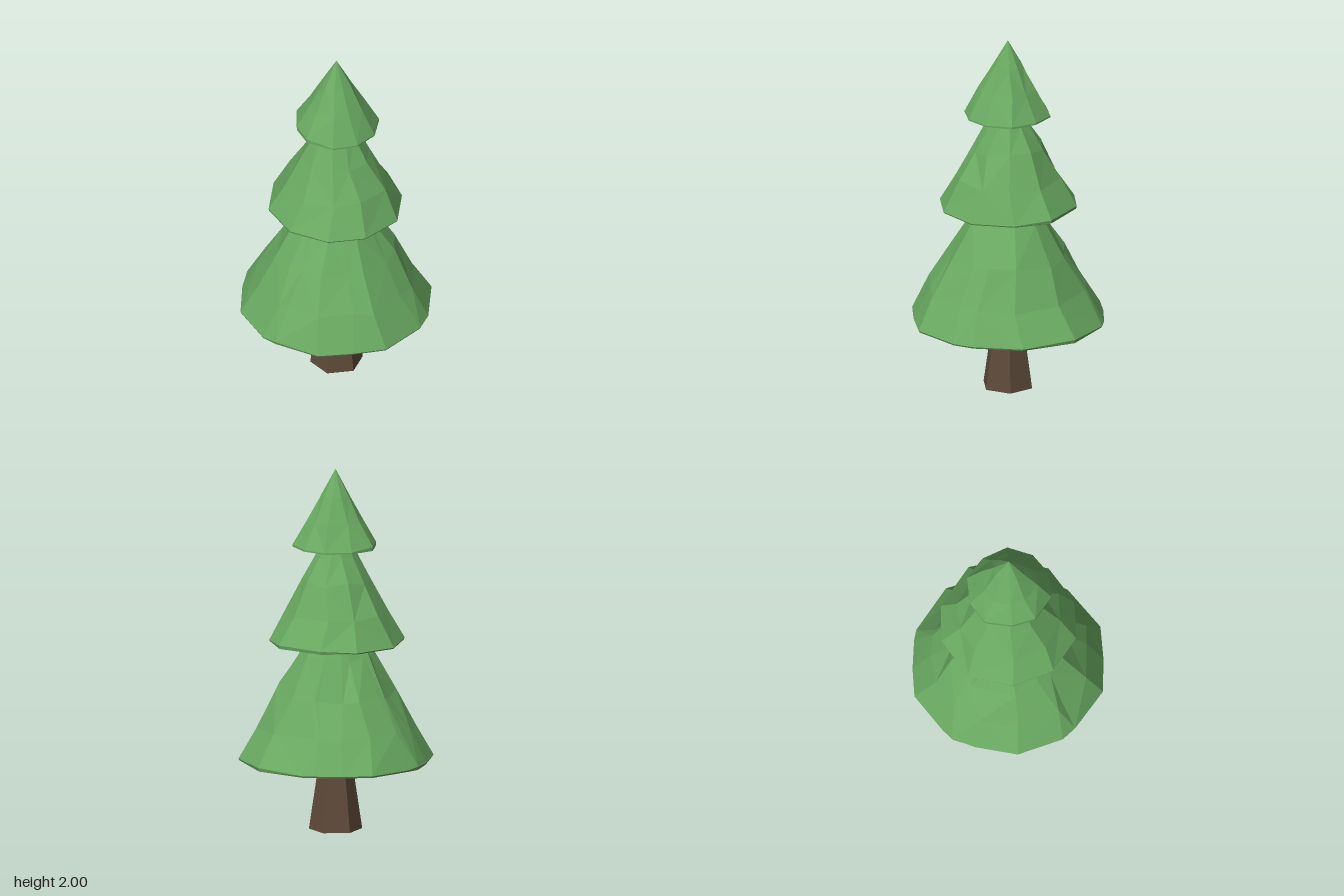
import * as THREE from 'three';

const foliage = new THREE.MeshStandardMaterial({ color: 0x6aaa62, flatShading: true });
const bark = new THREE.MeshStandardMaterial({ color: 0x5e4a3a, flatShading: true });

// Rim outlines as [x, z], running from the back round by the left side
const lowerRim = [[-0.18, -0.525], [-0.02, -0.53], [0.15, -0.515], [0.21, -0.5], [0.44, -0.33],
  [0.535, -0.03], [0.47, 0.24], [0.41, 0.34], [0.19, 0.51], [0, 0.52], [-0.19, 0.51],
  [-0.4, 0.35], [-0.46, 0.28], [-0.54, 0.03], [-0.49, -0.2], [-0.44, -0.33], [-0.38, -0.38]];
const middleRim = [[-0.1, -0.375], [0.1, -0.37], [0.32, -0.21], [0.365, 0], [0.3, 0.23],
  [0.1, 0.365], [-0.11, 0.365], [-0.3, 0.235], [-0.38, 0.01], [-0.31, -0.235]];
const upperRim = [[-0.08, -0.22], [0.07, -0.23], [0.18, -0.14], [0.24, 0], [0.19, 0.14],
  [0.08, 0.225], [-0.06, 0.235], [-0.19, 0.14], [-0.225, 0.01], [-0.2, -0.14]];

function seeded(seed) {
  return () => (seed = (seed * 16807) % 2147483647) / 2147483647 - 0.5;
}

// A faceted cone over a rim outline, with slightly uneven rings and a flat underside
function tier(name, rim, baseY, apexY, levels, seed) {
  const rnd = seeded(seed);
  const n = rim.length;
  const height = apexY - baseY;
  const pos = [];
  const index = [];
  for (const [x, z] of rim) pos.push(x * 0.98, baseY, z * 0.98);
  levels.forEach((t, k) => {
    for (const [x, z] of rim) {
      // Away from the rim the section rounds off towards a circle
      const r = Math.hypot(x, z);
      const a = Math.atan2(z, x) + (k ? rnd() * 0.16 : 0);
      const s = r * (1 - t) * (k ? 1 + rnd() * 0.06 : 1);
      const lift = k ? rnd() * 0.04 * height : Math.max(0, rnd()) * 0.03;
      pos.push(Math.cos(a) * s, baseY + t * height + lift, Math.sin(a) * s);
    }
  });
  const rings = levels.length + 1;
  const apex = rings * n;
  pos.push(0, apexY, 0, 0, baseY, 0);
  for (let i = 0; i < n; i++) {
    const j = (i + 1) % n;
    for (let k = 0; k < rings - 1; k++) {
      const a = k * n + i, b = k * n + j, c = a + n, d = b + n;
      if ((i + k) % 2) index.push(a, c, b, b, c, d);
      else index.push(a, c, d, a, d, b);
    }
    index.push((rings - 1) * n + i, apex, (rings - 1) * n + j);
    index.push(apex + 1, i, j);
  }
  const geo = new THREE.BufferGeometry();
  geo.setAttribute('position', new THREE.Float32BufferAttribute(pos, 3));
  geo.setIndex(index);
  geo.computeVertexNormals();
  const mesh = new THREE.Mesh(geo, foliage);
  mesh.name = name;
  return mesh;
}

export function createModel() {
  const tree = new THREE.Group();
  tree.name = 'pineTree';

  // Tapered six-sided trunk, corners towards left and right
  const trunk = new THREE.Mesh(new THREE.CylinderGeometry(0.083, 0.145, 0.42, 6), bark);
  trunk.geometry.rotateY(Math.PI / 2);
  trunk.position.y = 0.21;
  trunk.name = 'trunk';
  tree.add(trunk);

  // Three stacked tiers of branches
  tree.add(
    tier('lowerBranches', lowerRim, 0.39, 1.34, [0.01, 0.2, 0.4, 0.62], 11),
    tier('middleBranches', middleRim, 1.045, 1.73, [0.01, 0.25, 0.5, 0.72], 29),
    tier('upperBranches', upperRim, 1.57, 2, [0.02, 0.35, 0.65], 47),
  );
  return tree;
}
